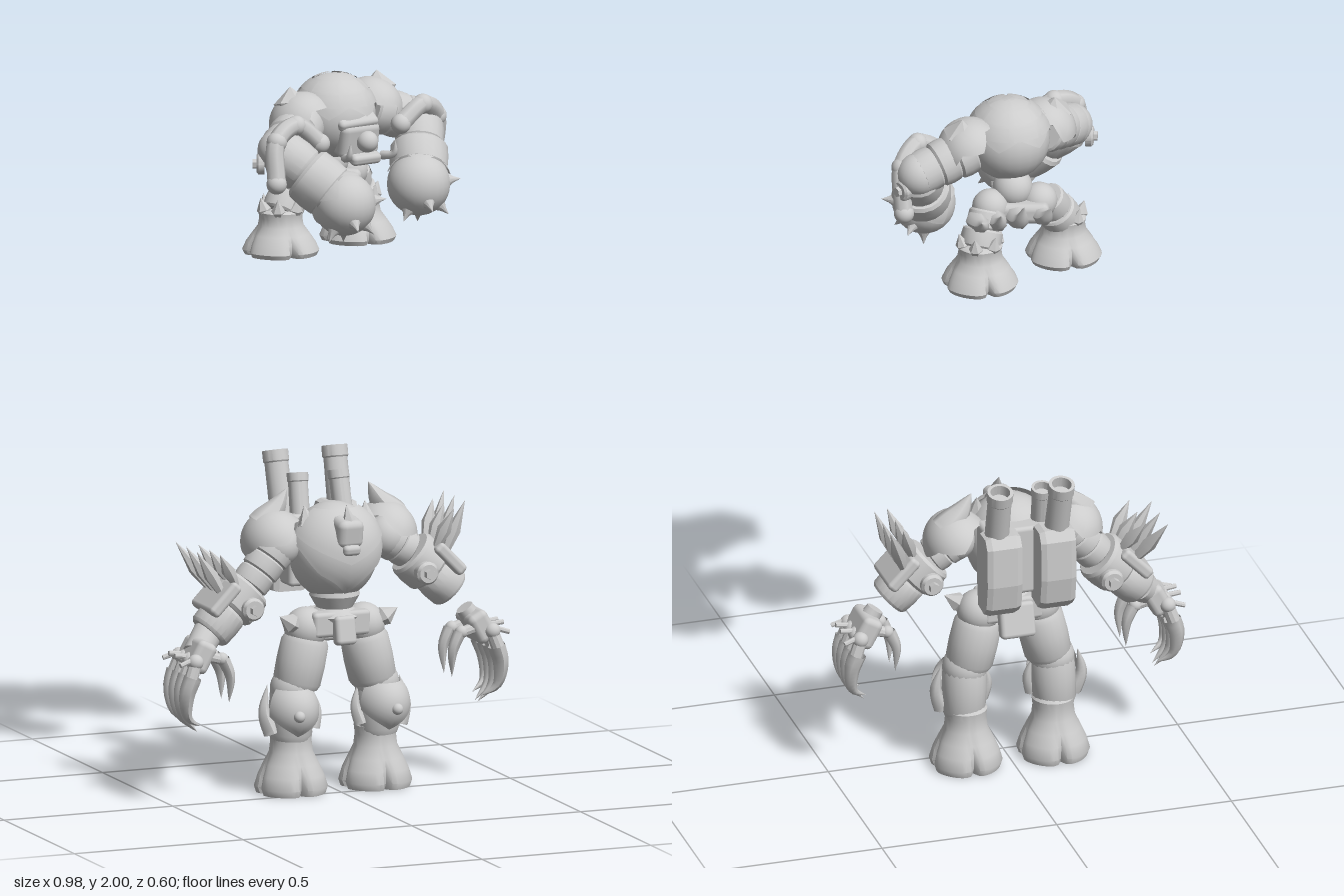
import * as THREE from 'three';
import { toCreasedNormals } from 'three/addons/utils/BufferGeometryUtils.js';
import { RoundedBoxGeometry } from 'three/addons/geometries/RoundedBoxGeometry.js';

const mat = new THREE.MeshStandardMaterial({ color: 0xcccccc, side: THREE.DoubleSide });
const V = (p) => new THREE.Vector3(...p);
const UP = new THREE.Vector3(0, 1, 0);
const mix = (a, b, t) => a.map((v, i) => v + (b[i] - v) * t);
const add = (a, b) => a.map((v, i) => v + b[i]);

function put(parent, name, geo, p = [0, 0, 0], r = [0, 0, 0], s = [1, 1, 1]) {
  const m = new THREE.Mesh(geo, mat);
  m.name = name;
  m.position.set(...p); m.rotation.set(...r); m.scale.set(...s);
  parent.add(m);
  return m;
}
function group(parent, name) {
  const g = new THREE.Group();
  g.name = name;
  parent.add(g);
  return g;
}
const ball = (parent, name, p, r, s) => put(parent, name, new THREE.SphereGeometry(r, 24, 16), p, [0, 0, 0], s);
const box = (parent, name, p, size, r, bevel = 0.012) =>
  put(parent, name, new RoundedBoxGeometry(...size, 2, bevel), p, r);

// Lathed part running from a to b; profile rows are [radius, fraction of length]
function turned(parent, name, a, b, profile, seg = 20) {
  const d = V(b).sub(V(a)), len = d.length();
  const pts = profile.map(([r, t]) => new THREE.Vector2(r, t * len));
  const m = put(parent, name, toCreasedNormals(new THREE.LatheGeometry(pts, seg), 0.6), a);
  m.quaternion.setFromUnitVectors(UP, d.normalize());
  return m;
}
const rod = (parent, name, a, b, r0, r1 = r0, seg = 18) =>
  turned(parent, name, a, b, [[0, 0], [r0, 0], [r1, 1], [0, 1]], seg);
const blade = (parent, name, a, b, r) => turned(parent, name, a, b, [[r * 0.5, 0], [r, 0.45], [0, 1]], 6);

// Armoured limb: stacked bands with shallow grooves between them
function banded(parent, name, a, b, r0, r1, n) {
  const prof = [[0, 0]];
  for (let i = 0; i < n; i++) {
    const r = r0 + (r1 - r0) * i / Math.max(1, n - 1), t = i / n, h = 1 / n;
    prof.push([r * 0.9, t], [r, t + h * 0.1], [r * 1.03, t + h * 0.5], [r, t + h * 0.9], [r * 0.9, t + h]);
  }
  return turned(parent, name, a, b, [...prof, [0, 1]]);
}

// Curved claw tapering to a point
function claw(parent, name, pts, r) {
  const path = new THREE.CatmullRomCurve3(pts.map(V)), n = 12, k = 7;
  const g = new THREE.TubeGeometry(path, n, r, k), pos = g.attributes.position, v = new THREE.Vector3();
  for (let i = 0; i < pos.count; i++) {
    const t = Math.floor(i / (k + 1)) / n;
    v.fromBufferAttribute(pos, i).sub(path.getPointAt(t)).multiplyScalar(1 - t ** 1.8).add(path.getPointAt(t));
    pos.setXYZ(i, v.x, v.y, v.z);
  }
  g.computeVertexNormals();
  return put(parent, name, g);
}

// Spherical plate whose lower edge follows edge(u); phi = PI/2 faces +z
function shell(r, phi0, phi1, th0, edge, w = 40, h = 8) {
  const g = new THREE.SphereGeometry(r, w, h, 0, Math.PI * 2, 0.1, 1), pos = g.attributes.position;
  for (let i = 0; i < pos.count; i++) {
    const u = (i % (w + 1)) / w, t = Math.floor(i / (w + 1)) / h;
    const phi = phi0 + (phi1 - phi0) * u, th = th0 + (edge(u) - th0) * t;
    pos.setXYZ(i, -r * Math.cos(phi) * Math.sin(th), r * Math.cos(th), r * Math.sin(phi) * Math.sin(th));
  }
  g.computeVertexNormals();
  return g;
}
const jag = (n, lo, hi) => (u) => lo + (hi - lo) * Math.abs(((u * n) % 1) * 2 - 1);

// Flared foot with four cloven toes and a slightly arched sole
function foot(parent, name, p, r, h) {
  const prof = [[0, 0.05], [0.6, 0.04], [0.8, 0], [0.95, 0], [1.02, 0.1], [0.94, 0.28], [0.8, 0.46], [0.64, 0.64], [0.6, 0.82], [0.63, 0.95], [0.55, 1], [0, 1]];
  const g = new THREE.LatheGeometry(prof.map(([x, y]) => new THREE.Vector2(x * r, y * h)), 48);
  const pos = g.attributes.position;
  for (let i = 0; i < pos.count; i++) {
    const x = pos.getX(i), z = pos.getZ(i), y = pos.getY(i) / h;
    const cleft = (1 - Math.abs(Math.sin(2 * Math.atan2(z, x)))) ** 4;
    const k = 1 + Math.max(0, 1 - y * 1.7) * (0.07 - 0.32 * cleft);
    pos.setX(i, x * k); pos.setZ(i, z * k);
  }
  put(parent, name, toCreasedNormals(g, 0.7), p);
}

// Round hub with a raised hexagonal bolt, facing direction d
function hub(parent, p, d, r) {
  turned(parent, 'jointHub', p, add(p, d), [[0, 0], [r, 0], [r, 0.6], [r * 0.8, 0.8], [0, 0.8]]);
  rod(parent, 'hubBolt', p, add(p, d.map((v) => v * 1.2)), r * 0.5, r * 0.45, 6);
}

// Backpack tank: chamfered side profile extruded across x
function tank(parent, name, x) {
  const profile = [[0.18, 0.54], [0.235, 0.535], [0.26, 0.56], [0.272, 0.63], [0.268, 0.74], [0.25, 0.765], [0.2, 0.765], [0.17, 0.72]];
  const g = new THREE.ExtrudeGeometry(new THREE.Shape(profile.map(([z, y]) => new THREE.Vector2(z, y))),
    { depth: 0.07, bevelSize: 0.006, bevelThickness: 0.015, bevelSegments: 1 });
  put(parent, name, g, [x - 0.035, 0, 0], [0, Math.PI / 2, 0]);
}

function clawWalker(root) {
  const g = group(root, 'clawWalker');
  // Pelvis and waist
  turned(g, 'waist', [0, 0.44, -0.05], [0, 0.58, -0.05], [[0, 0], [0.05, 0.05], [0.075, 0.35], [0.05, 0.5], [0.07, 0.75], [0.06, 1]]);
  box(g, 'pelvis', [0, 0.47, -0.05], [0.17, 0.07, 0.12]);
  box(g, 'pelvisGuard', [0, 0.455, 0.02], [0.06, 0.08, 0.04], [-0.2, 0, 0]);
  box(g, 'rearGuard', [0, 0.45, -0.125], [0.1, 0.1, 0.04], [0.25, 0, 0]);
  // Torso with chest plate
  ball(g, 'torso', [0, 0.665, -0.06], 0.13, [0.95, 1.05, 0.95]);
  const vEdge = (u) => 2.5 - 1.25 * Math.abs(u * 2 - 1) - 0.08 * Math.abs(Math.sin(u * 12));
  put(g, 'chestPlate', shell(0.137, 0.15, Math.PI - 0.15, 0.85, vEdge), [0, 0.665, -0.06], [0, 0, 0], [1, 1, 0.97]);
  put(g, 'upperChestPlate', shell(0.144, 0.3, Math.PI - 0.3, 0.5, (u) => 1.7 - 0.55 * Math.abs(u * 2 - 1)), [0, 0.665, -0.06], [0, 0, 0], [1, 1, 0.93]);
  box(g, 'backFrame', [0, 0.66, -0.15], [0.22, 0.2, 0.09]);
  // Head
  box(g, 'head', [0, 0.735, 0.04], [0.075, 0.08, 0.08], [0.15, 0, 0], 0.02);
  box(g, 'jaw', [0, 0.69, 0.065], [0.05, 0.03, 0.04], [0.2, 0, 0]);
  blade(g, 'headCrest', [0, 0.735, 0.07], [0, 0.81, 0.035], 0.018);

  for (const s of [-1, 1]) {
    const side = s > 0 ? 'left' : 'right';
    const m = (x, y, z) => [s * x, y, z];
    // Backpack and exhaust pipes
    tank(g, side + 'BackpackTank', s * 0.077);
    const pipe = (name, a, b, r) => turned(g, name, a, b,
      [[0, 0], [r, 0], [r * 0.97, 0.83], [r * 1.06, 0.85], [r * 1.06, 1], [r * 0.8, 1], [r * 0.75, 0.85], [0, 0.85]]);
    pipe(side + 'ExhaustPipe', m(0.085, 0.72, -0.21), m(0.088, 0.913, -0.262), 0.034);
    pipe(side + 'ShortPipe', m(0.065, 0.72, -0.135), m(0.06, 0.865, -0.17), 0.028);
    blade(g, side + 'CollarHorn', m(0.085, 0.7, -0.02), m(0.09, 0.8, -0.05), 0.028);

    // Leg
    const leg = group(g, side + 'Leg');
    foot(leg, 'foot', m(0.125, 0, -0.06), 0.094, 0.18);
    banded(leg, 'shin', m(0.13, 0.15, -0.055), m(0.125, 0.31, -0.05), 0.06, 0.066, 1);
    ball(leg, 'kneeJoint', m(0.125, 0.29, -0.05), 0.062);
    put(leg, 'kneeGuard', shell(0.078, 0.35, Math.PI - 0.35, 0.75, (u) => 2.5 - 0.8 * Math.abs(u * 2 - 1)),
      m(0.135, 0.235, -0.045), [0, 0, 0], [1, 1.1, 1.25]);
    ball(leg, 'kneeStud', m(0.145, 0.23, 0.05), 0.016);
    claw(leg, 'sideFin', [m(0.19, 0.17, -0.04), m(0.208, 0.23, -0.05), m(0.195, 0.305, -0.06)], 0.022);
    claw(leg, 'innerFin', [m(0.07, 0.18, -0.03), m(0.058, 0.23, -0.04), m(0.07, 0.29, -0.05)], 0.018);
    banded(leg, 'thigh', m(0.115, 0.295, -0.05), m(0.085, 0.43, -0.05), 0.066, 0.073, 1);
    ball(leg, 'hipJoint', m(0.085, 0.455, -0.05), 0.06);
    blade(leg, 'hipSpike', m(0.11, 0.46, -0.03), m(0.175, 0.5, -0.02), 0.028);

    // Arm: the left one ends before its detached hand
    const arm = group(g, side + 'Arm');
    const sh = m(0.16, 0.69, -0.065);
    const el = s > 0 ? [0.225, 0.645, -0.06] : [-0.25, 0.585, -0.06];
    const wr = s > 0 ? [0.345, 0.53, -0.05] : [-0.375, 0.465, -0.05];
    const hand = s > 0 ? [0.405, 0.435, -0.015] : [-0.425, 0.415, -0.015];
    ball(arm, 'shoulderJoint', sh, 0.06);
    banded(arm, 'upperArm', sh, el, 0.056, 0.052, s > 0 ? 2 : 3);
    banded(arm, 'forearm', mix(el, wr, 0.02), wr, 0.072, 0.06, 2);
    for (const d of [-1, 1]) hub(arm, add(mix(el, wr, 0.25), [-s * 0.01, -0.02, d * 0.06]), [0, 0, d * 0.04], 0.032);
    box(arm, 'forearmPlate', add(mix(el, wr, 0.5), m(0.035, 0.04, 0)), [0.11, 0.035, 0.15], [0, 0, -s * 0.8]);
    const lean = s > 0 ? [0.06, 0.15] : [0.08, 0.13];
    for (let i = 0; i < 6; i++) {
      const k = i / 5 - 0.5, len = 1 - (i % 2) * 0.28;
      const base = add(mix(el, wr, 0.45 - 0.25 * (i % 2)), m(0.035, 0.04, k * 0.1));
      blade(arm, 'forearmSpike', base, add(base, m(lean[0] * len, lean[1] * len, k * 0.09 - 0.02)), 0.02);
    }
    // Pointed shoulder armour rising towards the neck
    put(arm, 'pauldron', shell(0.092, 0, Math.PI * 2, 0, jag(4, 1.1, 1.4)), m(0.16, 0.69, -0.09),
      [0, 0, -s * 0.5], [1, 1.05, 1.15]);
    claw(arm, 'pauldronHorn', [m(0.2, 0.74, -0.1), m(0.155, 0.785, -0.1), m(0.12, 0.84, -0.1)], 0.042);
    // Hand with long curved claws
    const h = group(arm, 'clawHand');
    if (s > 0) rod(h, 'wristStump', add(hand, [-0.035, 0.05, 0]), hand, 0.025, 0.03, 12);
    else rod(h, 'wrist', wr, hand, 0.042, 0.038);
    box(h, 'palm', hand, [0.06, 0.09, 0.12], [0, 0, s * 0.5], 0.018);
    const at = (x, y, z) => add(hand, [s * x, y, z]);
    for (let i = 0; i < 4; i++) {
      const z = (i - 1.5) * 0.038, drop = Math.abs(i - 1.5) * 0.02;
      ball(h, 'knuckle', at(0.025, -0.01, z), 0.022);
      rod(h, 'knuckleStud', at(0.025, 0, z), at(0.072, 0.015 - drop, z * 1.1), 0.008, 0.007, 8);
      rod(h, 'finger', at(0.025, -0.015, z), at(0.045, -0.07, z * 1.1), 0.018, 0.019, 10);
      claw(h, 'fingerClaw', [at(0.035, -0.05, z * 1.1), at(0.05, -0.1, z), at(0.042, -0.165, z * 0.8), at(0, -0.225 + drop, z * 0.5)], 0.025);
    }
    for (const z of [-0.03, 0.04]) {
      ball(h, 'thumbKnuckle', at(-0.06, -0.01, z), 0.018);
      rod(h, 'thumb', at(-0.02, 0, z), at(-0.07, -0.015, z), 0.016, 0.014, 10);
      claw(h, 'thumbClaw', [at(-0.065, -0.01, z), at(-0.085, -0.06, z), at(-0.085, -0.135, z * 0.8)], 0.018);
    }
  }
}

function maceWalker(root) {
  const g = group(root, 'maceWalker');
  // Round hunched body with broken armour plates
  const c = [0, 1.88, -0.05];
  ball(g, 'body', c, 0.114);
  put(g, 'backShell', shell(0.118, 0, Math.PI * 2, 0, jag(6, 1.2, 1.5), 60), c);
  for (let row = 0; row < 3; row++) {
    const n = 4 + row * 2, th = 0.15 + row * 0.38;
    for (let i = 0; i < n; i++) {
      const a = (i + row * 0.4) / n * Math.PI * 2, w = Math.PI * 2 / n;
      put(g, 'armourTile', shell(0.122, a, a + w * 0.85, th, () => th + 0.32, 6, 3), c);
    }
  }
  // Face, brow and jaw
  box(g, 'face', [0.03, 1.83, 0.03], [0.12, 0.1, 0.07], [0.2, 0.1, 0], 0.02);
  box(g, 'brow', [0.025, 1.88, 0.045], [0.12, 0.03, 0.05], [0.5, 0.1, 0]);
  ball(g, 'snout', [0.048, 1.825, 0.068], 0.03);
  box(g, 'jaw', [0.045, 1.78, 0.045], [0.09, 0.03, 0.06], [0.3, 0.1, 0]);
  for (const x of [-0.01, 0.1]) claw(g, 'tusk', [[x, 1.78, 0.05], [x * 1.2, 1.79, 0.085], [x * 1.2, 1.83, 0.095]], 0.013);
  // Pelvis
  ball(g, 'waist', [0, 1.75, -0.09], 0.055);
  box(g, 'pelvis', [0, 1.695, -0.11], [0.19, 0.06, 0.1], [0, -0.3, 0], 0.02);
  for (const x of [-0.06, 0.01, 0.07, 0.12])
    claw(g, 'tailSpike', [[x, 1.69, -0.14], [x, 1.7, -0.2], [x * 1.1, 1.76 - Math.abs(x) * 0.3, -0.235]], 0.03);

  const sides = [
    { name: 'right', s: -1, foot: [-0.155, 1.505, -0.06], sh: [-0.11, 1.875, -0.01], el: [-0.222, 1.825, 0.09], mace: [-0.075, 1.685, 0.2],
      guard: [[-0.11, 1.84, 0.11], [-0.18, 1.895, 0.11], [-0.25, 1.86, 0.14], [-0.265, 1.75, 0.175]] },
    { name: 'left', s: 1, foot: [0.115, 1.505, -0.16], sh: [0.12, 1.885, -0.09], el: [0.275, 1.835, -0.105], mace: [0.22, 1.685, 0.02],
      guard: [[0.18, 1.85, -0.01], [0.255, 1.895, -0.035], [0.315, 1.85, -0.08], [0.32, 1.73, -0.12]] },
  ];
  for (const { name, s, foot: f, sh, el, mace, guard } of sides) {
    // Short leg with a ring of ankle spikes
    const leg = group(g, name + 'Leg');
    foot(leg, 'foot', f, 0.098, 0.125);
    const hip = [s * 0.07, 1.71, -0.11];
    banded(leg, 'shin', add(f, [0, 0.11, 0]), mix(add(f, [0, 0.2, 0]), hip, 0.7), 0.055, 0.048, 2);
    ball(leg, 'hipJoint', hip, 0.05);
    for (let i = 0; i < 6; i++) {
      const x = Math.cos(i * Math.PI / 3), z = Math.sin(i * Math.PI / 3);
      blade(leg, 'ankleSpike', add(f, [x * 0.042, 0.1, z * 0.042]), add(f, [x * 0.06, 0.16, z * 0.06]), 0.02);
    }

    // Heavy arm
    const arm = group(g, name + 'Arm');
    banded(arm, 'upperArm', sh, el, 0.066, 0.06, 3);
    put(arm, 'pauldron', shell(0.085, 0, Math.PI * 2, 0, jag(5, 1.1, 1.45)), add(sh, [s * 0.005, 0, 0]), [0, 0, -s * 0.6], [1.05, 1, 1.1]);
    blade(arm, 'pauldronHorn', add(sh, [s * 0.03, 0.02, 0]), add(sh, [s * 0.03, 0.1, -0.02]), 0.05);
    ball(arm, 'elbowJoint', el, 0.06);
    hub(arm, add(el, [s * 0.04, -0.035, -0.01]), [s * 0.025, 0, -0.01], 0.03);
    banded(arm, 'forearm', el, mix(el, mace, 0.8), 0.066, 0.079, 2);
    // Curved guard arching over the forearm
    put(arm, 'elbowGuard', new THREE.TubeGeometry(new THREE.CatmullRomCurve3(guard.map(V)), 20, 0.026, 8));
    guard.forEach((p) => ball(arm, 'guardRivet', p, 0.028));
    // Spiked mace fist
    const fist = group(arm, 'maceFist');
    ball(fist, 'maceBall', mace, 0.087);
    const cuff = put(fist, 'maceCuff', shell(0.092, 0, Math.PI * 2, 0, jag(5, 0.9, 1.4)), mace);
    cuff.quaternion.setFromUnitVectors(UP, V(el).sub(V(mace)).normalize());
    for (const d of [[0, -0.5, 0.85], [0.95, 0.1, 0.25], [-0.5, -0.8, 0.3], [0.6, -0.7, 0.4], [0.1, -1, -0.3], [0.6, -0.5, -0.65]]) {
      const n = V(d).normalize(), out = (k) => V(mace).addScaledVector(n, k).toArray();
      turned(fist, 'maceSpike', out(0.078), out(0.118), [[0.022, 0], [0.009, 0.45], [0, 1]], 10);
    }
  }
}

export function createModel() {
  const model = new THREE.Group();
  model.name = 'twoArmouredWalkers';
  clawWalker(model);
  maceWalker(model);
  return model;
}
